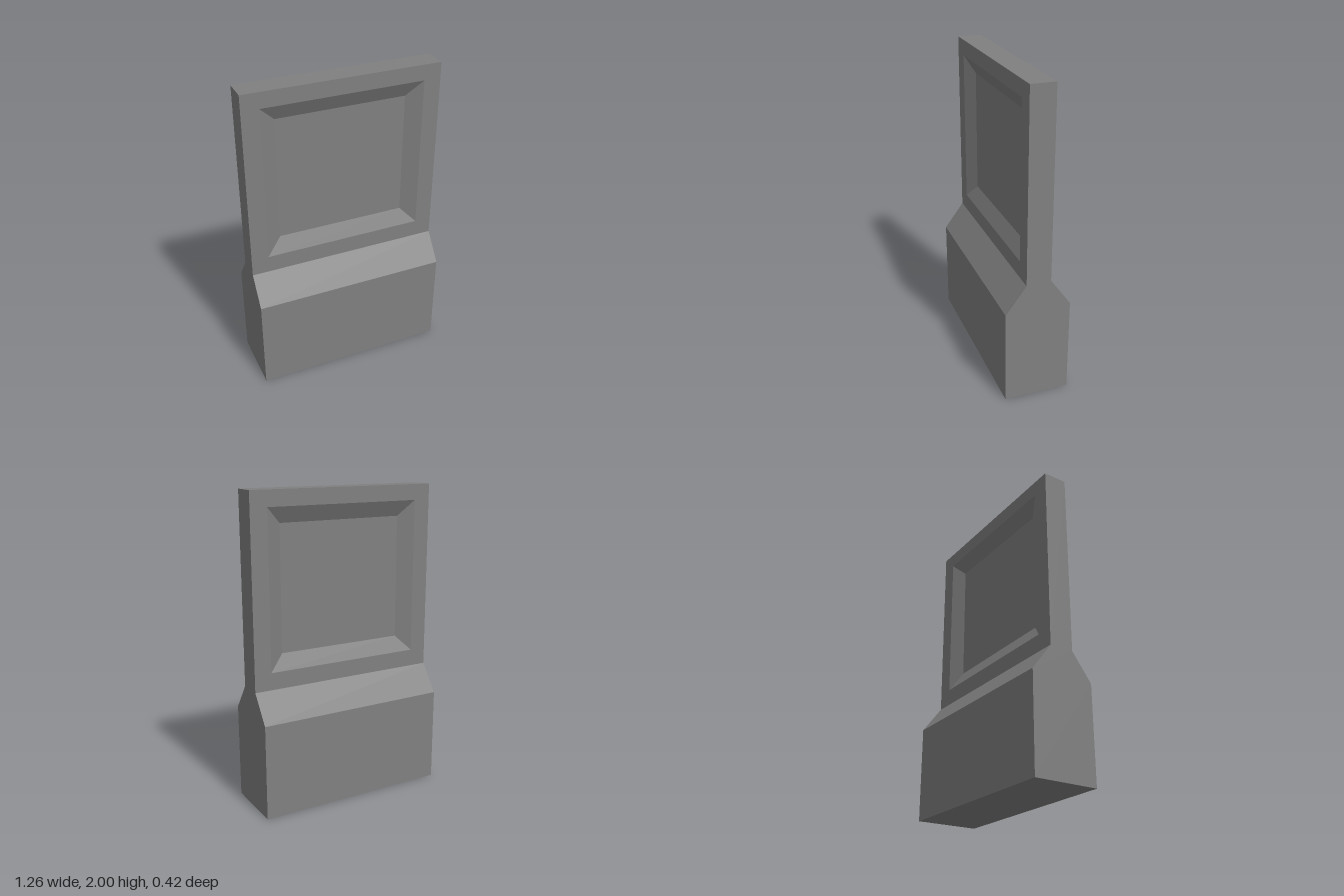
import * as THREE from 'three';

const HALF_W = 0.63;    // half width of the whole model
const BASE_Z = 0.208;   // half depth of the base
const PANEL_Z = 0.078;  // half depth of the upright panel
const BASE_Y = 0.615, NECK_Y = 0.79, TOP_Y = 2;

// flat faces from a list of four-cornered, counter-clockwise quads
function quads(list) {
  const pos = [];
  for (const [a, b, c, d] of list) pos.push(...a, ...b, ...c, ...a, ...c, ...d);
  const g = new THREE.BufferGeometry();
  g.setAttribute('position', new THREE.Float32BufferAttribute(pos, 3));
  g.computeVertexNormals();
  return g;
}

// quads joining consecutive four-cornered rings
function loft(rings) {
  const out = [];
  for (let r = 0; r < rings.length - 1; r++) {
    for (let i = 0; i < 4; i++) {
      const j = (i + 1) % 4;
      out.push([rings[r][i], rings[r][j], rings[r + 1][j], rings[r + 1][i]]);
    }
  }
  return out;
}

const flatRing = (x, z, y) => [[-x, y, z], [x, y, z], [x, y, -z], [-x, y, -z]];
const uprightRing = (x, y0, y1, z) => [[-x, y0, z], [x, y0, z], [x, y1, z], [-x, y1, z]];

export function createModel() {
  const group = new THREE.Group();
  const grey = new THREE.MeshStandardMaterial({ color: 0x808080 });
  grey.name = 'grey';

  const add = (name, faces) => {
    const mesh = new THREE.Mesh(quads(faces), grey);
    mesh.name = name;
    group.add(mesh);
    return mesh;
  };

  // block base with sloping shoulders
  const bottom = flatRing(HALF_W, BASE_Z, 0);
  add('base', [
    [...bottom].reverse(),
    ...loft([bottom, flatRing(HALF_W, BASE_Z, BASE_Y), flatRing(HALF_W, PANEL_Z, NECK_Y)]),
  ]);

  // outer edges of the upright panel
  const neck = flatRing(HALF_W, PANEL_Z, NECK_Y);
  const top = flatRing(HALF_W, PANEL_Z, TOP_Y);
  add('panelEdges', [
    [neck[1], neck[2], top[2], top[1]],
    [neck[3], neck[0], top[0], top[3]],
    top,
  ]);

  // framed face with a bevelled recess, on front and back
  const floor = uprightRing(0.42, 1.0, 1.8, PANEL_Z - 0.05);
  const face = [
    ...loft([
      uprightRing(HALF_W, NECK_Y, TOP_Y, PANEL_Z),
      uprightRing(0.52, 0.9, 1.9, PANEL_Z),
      floor,
    ]),
    floor,
  ];
  add('frontPanel', face);
  add('backPanel', face).rotation.y = Math.PI;

  return group;
}
